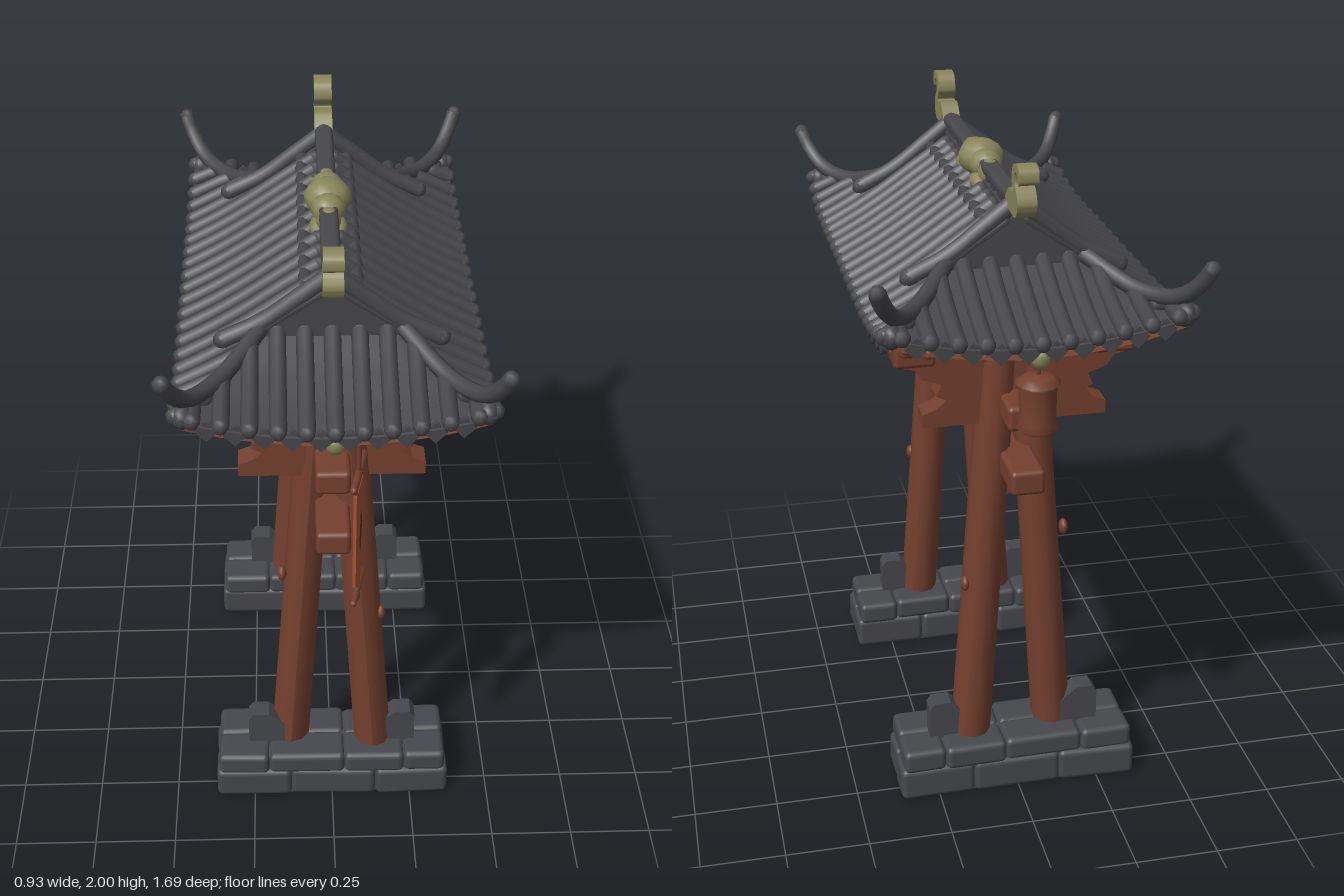
import * as THREE from 'three';
import { mergeGeometries } from 'three/addons/utils/BufferGeometryUtils.js';
import { RoundedBoxGeometry } from 'three/addons/geometries/RoundedBoxGeometry.js';

const colour = (name, hex, side = THREE.FrontSide) => {
  const m = new THREE.MeshStandardMaterial({ color: hex, side });
  m.name = name;
  return m;
};
const SIGNS = [-1, 1];
const EAVE_X = 0.42, EAVE_Z = 0.785, GABLE_Z = 0.46;

// Piecewise-linear lookup along a profile of [position, height] pairs
const lookup = (profile, t) => {
  for (let i = 1; i < profile.length; i++) {
    const [a, ya] = profile[i - 1], [b, yb] = profile[i];
    if (t <= b) return ya + (yb - ya) * (t - a) / (b - a);
  }
  return profile[profile.length - 1][1];
};
const SLOPE = [[0, 1.82], [0.1, 1.755], [0.2, 1.685], [0.3, 1.62], [EAVE_X, 1.555]];
const END_SLOPE = [[GABLE_Z, 1.685], [0.56, 1.635], [0.67, 1.59], [EAVE_Z, 1.555]];

// Height of the hip-and-gable roof, with lifted corners
const roofY = (x, z, end = false) => {
  const ax = Math.abs(x), az = Math.abs(z);
  const h = lookup(SLOPE, ax);
  const y = end || az > GABLE_Z ? Math.min(h, lookup(END_SLOPE, Math.max(az, GABLE_Z))) : h;
  const lift = Math.max(0, az - 0.4) / 0.385;
  return y + 0.06 * lift * lift * (ax / EAVE_X) ** 2;
};
const hipX = z => 0.2 + Math.max(0, Math.abs(z) - GABLE_Z) / (EAVE_Z - GABLE_Z) * 0.22;
const hipZ = x => GABLE_Z + Math.max(0, Math.abs(x) - 0.2) / 0.22 * (EAVE_Z - GABLE_Z);

// Grid draped over the roof between two z positions
const sheet = (z0, z1, end, drop, scale) => {
  const g = new THREE.PlaneGeometry(2 * EAVE_X, z1 - z0, 20, 12).rotateX(-Math.PI / 2);
  const p = g.attributes.position;
  for (let i = 0; i < p.count; i++) {
    const x = p.getX(i), z = p.getZ(i) + (z0 + z1) / 2;
    p.setXYZ(i, x * scale, roofY(x, z, end) - drop, z * scale);
  }
  g.computeVertexNormals();
  return g;
};
const roofSheets = (drop, scale) => mergeGeometries([
  sheet(-GABLE_Z, GABLE_Z, false, drop, scale),
  sheet(GABLE_Z, EAVE_Z, true, drop, scale),
  sheet(-EAVE_Z, -GABLE_Z, true, drop, scale),
]);

const box = (w, h, d, x, y, z) => new THREE.BoxGeometry(w, h, d).translate(x, y, z);
const beam = (w, h, d, x, y, z) => new RoundedBoxGeometry(w, h, d, 2, 0.014).translate(x, y, z);
const ball = (x, y, z, rx, ry, rz) => new THREE.SphereGeometry(1, 10, 7).scale(rx, ry, rz).translate(x, y, z);

// Round bar along points, closed by rounded ends
const bar = (points, r, steps = 8, sides = 8) => {
  const v = points.map(p => new THREE.Vector3(...p));
  const tube = new THREE.TubeGeometry(new THREE.CatmullRomCurve3(v), steps, r, sides);
  const ends = [v[0], v[v.length - 1]].map(e => new THREE.SphereGeometry(r, sides, 5).translate(e.x, e.y, e.z));
  return mergeGeometries([tube, ...ends]);
};
// Outline in (u, y), extruded to a thickness centred on zero
const plate = (points, depth, spline = false) => {
  const v = points.map(p => new THREE.Vector2(...p));
  const shape = new THREE.Shape();
  if (spline) { shape.moveTo(v[0].x, v[0].y); shape.splineThru([...v.slice(1), v[0]]); } else shape.setFromPoints(v);
  return new THREE.ExtrudeGeometry(shape, { depth, bevelEnabled: false, curveSegments: 40 }).translate(0, 0, -depth / 2);
};

export function createModel() {
  const tile = colour('roofTile', 0x47474c, THREE.DoubleSide);
  const stone = colour('stone', 0x47484d);
  const wood = colour('redWood', 0x74402f, THREE.DoubleSide);
  const panel = colour('signWood', 0x6c3a2a);
  const gold = colour('agedGold', 0x88855a);
  const cloth = colour('bannerCloth', 0xa9542f, THREE.DoubleSide);
  const dark = colour('darkWood', 0x573126);

  const model = new THREE.Group();
  const add = (name, mat, ...geos) => {
    const parts = geos.flat().map(g => (g.index ? g.toNonIndexed() : g));
    const mesh = new THREE.Mesh(mergeGeometries(parts), mat);
    mesh.name = name;
    model.add(mesh);
  };
  let seed = 7;
  const rand = () => (seed = (seed * 16807) % 2147483647) / 2147483647 - 0.5;

  // Stone footings: staggered rough blocks around a core, with guard stones on top
  for (const s of SIGNS) {
    const rocks = [box(0.69, 0.16, 0.2, 0, 0.08, s * 0.452)];
    [[0, 0.105, [-0.37, -0.13, 0.14, 0.37]], [0.095, 0.075, [-0.36, -0.2, 0.04, 0.23, 0.36]]].forEach(([y, h, cuts]) => {
      for (let i = 1; i < cuts.length; i++) for (const side of SIGNS) {
        const w = cuts[i] - cuts[i - 1];
        const rock = new RoundedBoxGeometry(w, h, 0.12, 2, 0.018);
        rock.rotateY(rand() * 0.07).translate((cuts[i] + cuts[i - 1]) / 2, y + h / 2, s * 0.452 + side * (0.058 + rand() * 0.014));
        rocks.push(rock);
      }
    });
    add('footing', stone, rocks);
    for (const t of SIGNS) {
      const guard = plate([[0.15, 0.16], [0.265, 0.16], [0.265, 0.265], [0.25, 0.285], [0.2, 0.285], [0.15, 0.24]], 0.062);
      if (t < 0) guard.rotateY(Math.PI);
      add('guardStone', stone, guard.translate(0, 0, s * 0.46));
    }
  }

  // Four leaning pillars
  for (const s of SIGNS) for (const t of SIGNS) {
    const pillar = new THREE.CylinderGeometry(0.054, 0.061, 1.34, 10).scale(1, 1, 1.12);
    const p = pillar.attributes.position;
    const inset = t < 0 ? 0.025 : 0;
    for (let i = 0; i < p.count; i++) {
      const k = (p.getY(i) + 0.67) / 1.34;
      p.setXYZ(i, p.getX(i) + t * (0.132 - 0.092 * k), p.getY(i) + 0.83, p.getZ(i) + s * (0.455 - inset - 0.02 * k));
    }
    pillar.computeVertexNormals();
    add('pillar', wood, pillar, ball(t * 0.15, t < 0 ? 0.85 : 0.69, s * 0.47, 0.014, 0.025, 0.02));
  }

  // Stepped bracket across each pair of pillars, and braces below the tie beam
  const half = [[0.27, 1.21], [0.27, 1.25], [0.23, 1.265], [0.2, 1.29], [0.23, 1.305], [0.215, 1.34],
    [0.27, 1.36], [0.29, 1.39], [0.35, 1.405], [0.36, 1.45], [0.34, 1.47], [0.36, 1.49], [0.36, 1.54]];
  const outline = [...half, ...half.slice().reverse().map(([x, y]) => [-x, y])];
  for (const s of SIGNS) {
    add('roofBracket', wood, plate(outline, 0.075).translate(0, 0, s * 0.43),
      SIGNS.map(t => beam(0.12, 0.07, 0.1, t * 0.29, 1.435, s * 0.43)));
    const brace = plate([[0.4, 1.07], [0.25, 1.07], [0.275, 1.02], [0.31, 1.005], [0.33, 0.96], [0.4, 0.94]], 0.05);
    add('cornerBrace', wood, brace.rotateY(s > 0 ? -Math.PI / 2 : Math.PI / 2));
  }

  // Long tie beams, side beams, ridge beam and eave frame
  add('tieBeams', wood, beam(0.1, 0.075, 1.29, 0, 1.09, 0), beam(0.1, 0.075, 1.2, 0, 1.27, 0));
  add('sideBeams', wood, SIGNS.map(t => beam(0.07, 0.095, 0.86, t * 0.27, 1.425, 0)), beam(0.07, 0.07, 0.9, 0, 1.7, 0));
  add('eaveFrame', wood, SIGNS.map(t => beam(0.05, 0.06, 1.18, t * 0.325, 1.505, 0)),
    SIGNS.map(s => beam(0.7, 0.05, 0.05, 0, 1.515, s * 0.58)));
  add('latticeStone', stone, SIGNS.map(s => [box(0.05, 0.055, 0.13, 0, 1.2, s * 0.3), box(0.04, 0.11, 0.035, 0, 1.18, s * 0.28)]).flat());

  // Plain name board on both faces, grey tablet between
  add('tablet', stone, plate([[-0.2, 1.29], [0.2, 1.29], [0.18, 1.39], [-0.18, 1.39]], 0.04).rotateY(Math.PI / 2));
  add('signBoard', panel, box(0.14, 0.19, 0.43, 0, 1.21, 0));
  add('signFrame', wood, SIGNS.map(t => [
    ...SIGNS.map(s => box(0.02, 0.2, 0.018, t * 0.07, 1.21, s * 0.216)),
    box(0.02, 0.018, 0.45, t * 0.07, 1.302, 0), box(0.02, 0.018, 0.45, t * 0.07, 1.118, 0)]).flat());

  // Roof shell, wooden soffit and gable walls
  add('roofShell', tile, roofSheets(0, 1));
  add('soffit', wood, roofSheets(0.035, 0.975));
  add('gableWalls', tile, SIGNS.map(s => plate([[-0.22, 1.67], [0.22, 1.67], [0, 1.83]], 0.02).translate(0, 0, s * GABLE_Z)));

  // Tile rolls with pointed drip tiles between, and rafters beneath
  const rolls = [], drips = [], rafters = [];
  const path = (a, b, at, drop) => [0, 0.25, 0.5, 0.75, 1].map(k => {
    const [x, z] = at(a + (b - a) * k);
    return [x, roofY(x, z, Math.abs(z) >= GABLE_Z && Math.abs(x) < hipX(z)) + drop, z];
  });
  const drip = () => new THREE.CylinderGeometry(0.032, 0.032, 0.016, 4);
  const pitch = 0.075;
  for (const t of SIGNS) {
    for (let i = -10; i <= 10; i++) {
      const z = i * pitch, start = Math.abs(z) < GABLE_Z ? 0.03 : hipX(z), m = z + pitch / 2;
      rolls.push(bar(path(start, EAVE_X, u => [t * u, z], 0.008), 0.024));
      if (i % 2 === 0 && i * i < 90) rafters.push(bar(path(start, 0.39, u => [t * u, z], -0.045), 0.014, 6, 6));
      if (i < 10) drips.push(drip().rotateZ(Math.PI / 2).translate(t * 0.415, roofY(EAVE_X, m) - 0.014, m));
    }
    for (let i = -5; i <= 5; i++) {
      const x = i * pitch, start = hipZ(x), m = x + pitch / 2;
      rolls.push(bar(path(start, EAVE_Z - 0.01, u => [x, t * u], 0.008), 0.024));
      if (i % 2 === 0) rafters.push(bar(path(start, 0.74, u => [x, t * u], -0.045), 0.014, 6, 6));
      if (i < 5) drips.push(drip().rotateX(Math.PI / 2).translate(m, roofY(m, EAVE_Z) - 0.014, t * 0.77));
    }
  }
  add('tileRolls', tile, rolls);
  add('dripTiles', tile, drips);
  add('rafters', wood, rafters);

  // Main ridge with open lattice, gable ridges and upswept hip ridges
  add('mainRidge', tile, box(0.05, 0.07, 0.92, 0, 1.8, 0), beam(0.055, 0.035, 0.9, 0, 1.867, 0),
    [-0.4, -0.33, -0.24, -0.16, 0, 0.16, 0.24, 0.33, 0.4].map(z => box(0.04, 0.05, 0.045, 0, 1.84, z)),
    SIGNS.map(t => bar([[t * 0.07, 1.785, -0.45], [t * 0.07, 1.785, 0.45]], 0.02)));
  for (const s of SIGNS) for (const t of SIGNS) {
    add('gableRidge', tile, bar([[0, 1.86, s * 0.45], [t * 0.09, 1.79, s * 0.45], [t * 0.19, 1.715, s * 0.45], [t * 0.3, 1.66, s * 0.45]], 0.027, 12));
    add('hipRidge', tile,
      bar([[t * 0.19, 1.7, s * 0.45], [t * 0.31, 1.64, s * 0.625], [t * 0.385, 1.655, s * 0.735], [t * 0.425, 1.71, s * 0.795], [t * 0.443, 1.755, s * 0.82]], 0.024, 16),
      ball(t * 0.4, 1.61, s * 0.75, 0.03, 0.035, 0.035));
  }

  // Gilded ridge-end scrolls
  const scroll = [[0.43, 1.86], [0.55, 1.845], [0.585, 1.88], [0.575, 1.915], [0.55, 1.94], [0.555, 1.97], [0.58, 1.97],
    [0.59, 1.945], [0.61, 1.955], [0.605, 1.985], [0.57, 2], [0.53, 1.985], [0.515, 1.945], [0.53, 1.91], [0.48, 1.91]];
  for (const s of SIGNS) {
    const outlineZ = scroll.map(([z, y]) => [s * (z > 0.6 ? z - 0.005 : z), Math.min(y, 1.997)]);
    add('ridgeScroll', gold, plate(outlineZ, 0.055, true).rotateY(-Math.PI / 2));
    add('eaveHook', gold, ball(0, 1.52, s * 0.75, 0.03, 0.035, 0.03));
  }
  // Gilded ornament at the middle of the ridge
  add('ridgeOrnament', gold, ball(0, 1.865, 0, 0.07, 0.055, 0.07),
    SIGNS.map(s => [ball(0, 1.86, s * 0.07, 0.05, 0.045, 0.05), ball(0, 1.85, s * 0.125, 0.035, 0.04, 0.04),
      ball(0.03, 1.82, s * 0.1, 0.025, 0.025, 0.05), ball(-0.03, 1.82, s * 0.1, 0.025, 0.025, 0.05)]).flat());

  // Hanging lantern at the back
  const lantern = [[0, 1.3], [0.05, 1.3], [0.062, 1.308], [0.052, 1.325], [0.054, 1.43], [0.064, 1.44], [0.04, 1.458], [0, 1.465]];
  add('lantern', wood, new THREE.LatheGeometry(lantern.map(p => new THREE.Vector2(...p)), 12).translate(0, 0, -0.73),
    bar([[0, 1.45, -0.73], [0, 1.52, -0.74]], 0.007));

  // Hanging cloth banner at the front, on two rods
  const banner = new THREE.Group();
  banner.name = 'banner';
  const cut = [[-0.062, 1.36], [0.062, 1.36], [0.065, 1.05], [0.0, 1.0], [-0.065, 1.05]];
  const bits = [
    ['bannerCloth', cloth, plate(cut, 0.009)],
    ['bannerMark', dark, plate([[0, 1.28], [0.022, 1.23], [0.015, 1.17], [0, 1.13], [-0.018, 1.19]], 0.014)],
    ['bannerRods', wood, mergeGeometries([bar([[-0.085, 1.4, 0], [0.09, 1.4, 0]], 0.011), bar([[-0.075, 1, 0], [0.075, 1, 0]], 0.01),
      bar([[0, 1.52, 0], [0, 1.4, 0]], 0.007), bar([[-0.05, 1.4, 0], [-0.05, 1.35, 0]], 0.005),
      bar([[0.05, 1.4, 0], [0.05, 1.35, 0]], 0.005), bar([[0, 1, 0], [0, 0.96, 0]], 0.008)])],
  ];
  for (const [name, mat, geo] of bits) {
    const mesh = new THREE.Mesh(geo, mat);
    mesh.name = name;
    banner.add(mesh);
  }
  banner.rotation.y = Math.PI / 2 - 0.2;
  banner.position.set(0.065, 0, 0.72);
  model.add(banner);
  return model;
}
